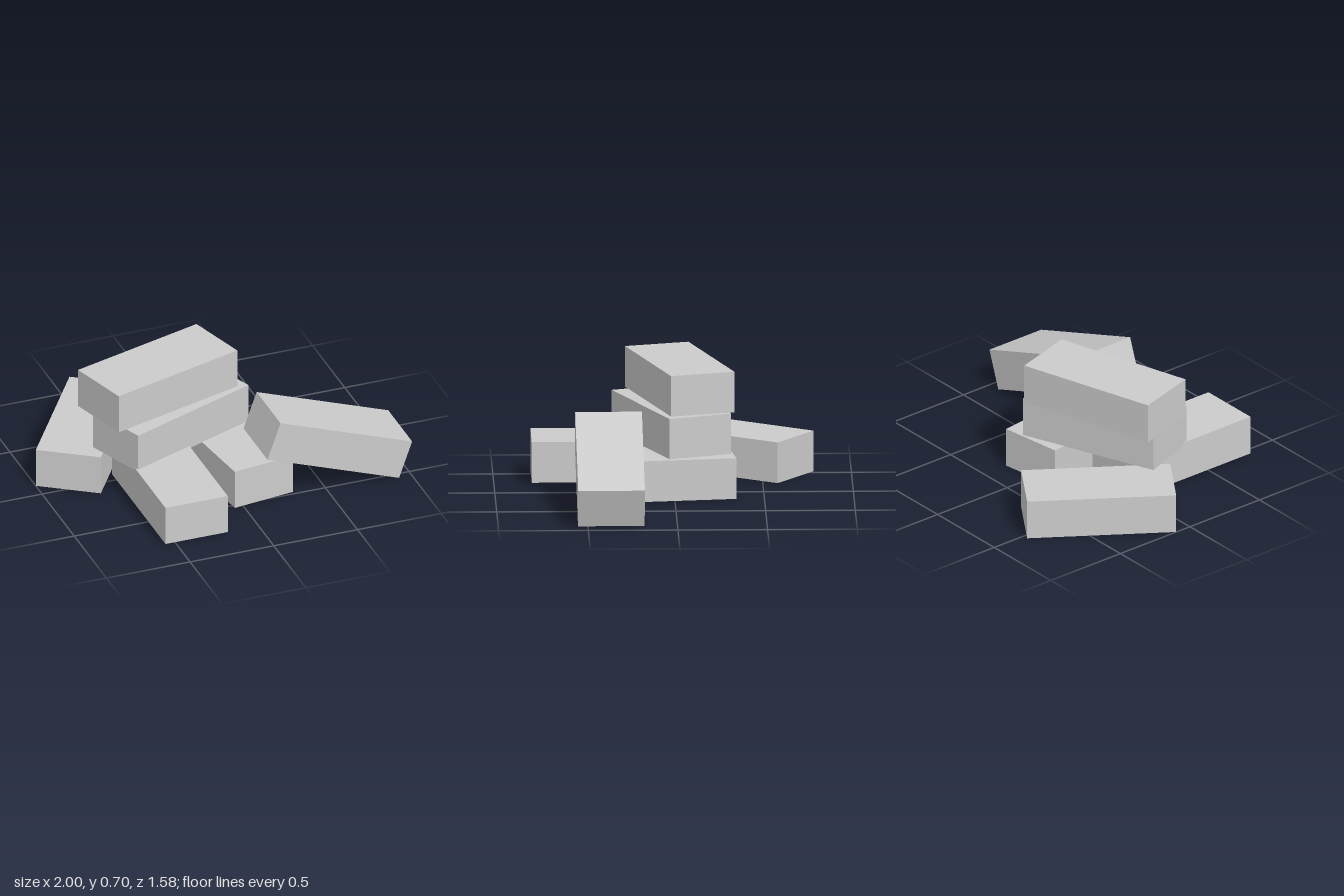
import * as THREE from 'three';

// Brick proportions: length, height, width
const LENGTH = 0.835, HEIGHT = 0.232, WIDTH = 0.372;

// Each brick: centre, turn about the vertical and tilt, both in degrees
const BRICKS = [
  { name: 'backBrick', at: [-0.612, 0.12, -0.34], turn: 56 },
  { name: 'frontBrick', at: [-0.38, 0.135, 0.372], turn: 90 },
  { name: 'middleBaseBrick', at: [0.073, 0.123, 0.095], turn: -82.1 },
  { name: 'secondLayerBrick', at: [-0.235, 0.353, 0.01], turn: 21.5 },
  { name: 'topBrick', at: [-0.295, 0.584, -0.038], turn: 16.7 },
  { name: 'leaningBrick', at: [0.565, 0.26, 0.37], tilt: -19.65 },
];

export function createModel() {
  const group = new THREE.Group();
  group.name = 'brickPile';
  const geometry = new THREE.BoxGeometry(LENGTH, HEIGHT, WIDTH);
  const material = new THREE.MeshStandardMaterial({ color: 0xcccccc });

  for (const { name, at, turn = 0, tilt = 0 } of BRICKS) {
    const brick = new THREE.Mesh(geometry, material);
    brick.name = name;
    brick.position.set(...at);
    brick.rotation.set(0, THREE.MathUtils.degToRad(turn), THREE.MathUtils.degToRad(tilt));
    group.add(brick);
  }
  return group;
}
